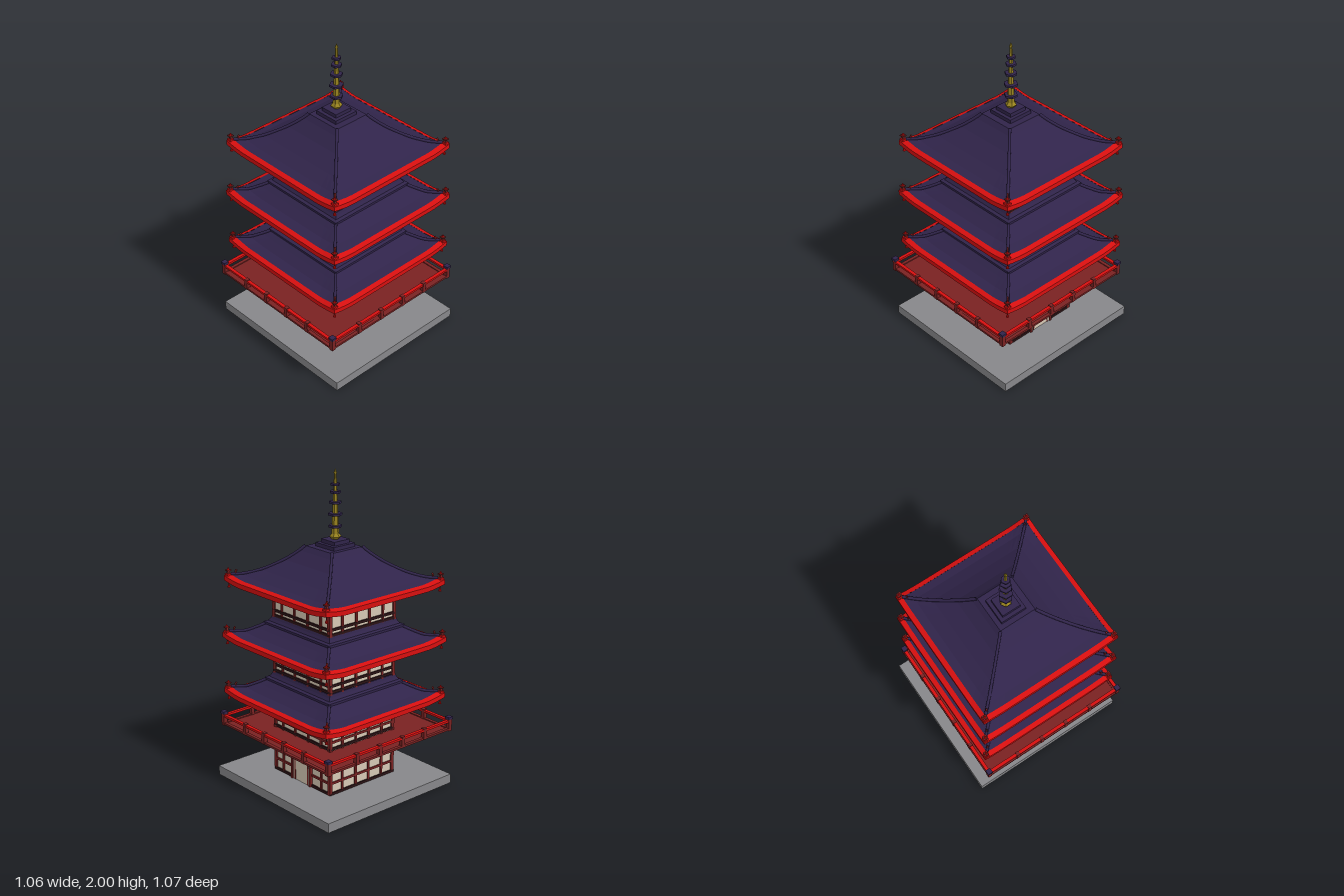
import * as THREE from 'three';

const mat = (name, color, side = THREE.FrontSide) => {
  const m = new THREE.MeshStandardMaterial({ color, side });
  m.name = name;
  return m;
};

export function createModel() {
  const M = {
    wall: mat('plaster', 0xd6c8b4), timber: mat('dark red timber', 0x7a2222),
    red: mat('bright red', 0xd60f0f), tile: mat('navy roof tile', 0x30244a),
    stone: mat('stone', 0x87878a), gold: mat('gold', 0x9a8420), dark: mat('dark trim', 0x2a1214),
  };
  const model = new THREE.Group();
  model.name = 'pagoda';

  const group = (name, parent, x = 0, y = 0, z = 0) => {
    const g = new THREE.Group();
    g.name = name;
    g.position.set(x, y, z);
    parent.add(g);
    return g;
  };
  const add = (name, parent, geo, m, x = 0, y = 0, z = 0) => {
    const mesh = new THREE.Mesh(geo, m);
    mesh.name = name;
    mesh.position.set(x, y, z);
    parent.add(mesh);
    return mesh;
  };
  // box given by its bottom height
  const box = (name, parent, m, w, h, d, x, y, z) =>
    add(name, parent, new THREE.BoxGeometry(w, h, d), m, x, y + h / 2, z);
  const cyl = (name, parent, m, rTop, rBottom, h, sides, x, y, z) => {
    const geo = new THREE.CylinderGeometry(rTop, rBottom, h, sides).toNonIndexed();
    geo.computeVertexNormals();
    return add(name, parent, geo, m, x, y + h / 2, z);
  };

  // eaves sweep upward close to the corners
  const lift = (half, t) =>
    0.02 * Math.max(0, (Math.abs(t) - 0.7) / 0.3) ** 1.5 * THREE.MathUtils.clamp((half - 0.3) / 0.15, 0, 1);

  // square shell from a [half width, height] profile, listed underside first
  const squareLoft = (profile) => {
    const pos = [], seg = 20;
    for (let side = 0; side < 4; side++) {
      const c = Math.round(Math.cos(side * Math.PI / 2)), s = Math.round(Math.sin(side * Math.PI / 2));
      const point = ([h, y], t) => [c * h * t + s * h, y + lift(h, t), -s * h * t + c * h];
      for (let i = 0; i < profile.length - 1; i++) {
        for (let j = 0; j < seg; j++) {
          const t0 = -1 + 2 * j / seg, t1 = -1 + 2 * (j + 1) / seg;
          const a = point(profile[i], t0), b = point(profile[i], t1);
          const d = point(profile[i + 1], t1), e = point(profile[i + 1], t0);
          pos.push(...a, ...b, ...d, ...a, ...d, ...e);
        }
      }
    }
    const geo = new THREE.BufferGeometry();
    geo.setAttribute('position', new THREE.Float32BufferAttribute(pos, 3));
    geo.computeVertexNormals();
    return geo;
  };

  // stone base
  box('base', model, M.stone, 1.02, 0.06, 1.065, 0.017, 0, 0);

  // storeys: bottom, top, timber beams, dark beams, bracket height
  const storeys = [
    { y0: 0.06, y1: 0.337, beams: [0.13, 0.237, 0.325], dark: [0.06], bracket: 0.255 },
    { y0: 0.35, y1: 0.585, beams: [0.4, 0.505], dark: [0.357], bracket: 0.53 },
    { y0: 0.715, y1: 0.95, beams: [0.873], dark: [0.725, 0.763], bracket: 0.895 },
    { y0: 1.08, y1: 1.315, beams: [1.238], dark: [1.083, 1.115], bracket: 1.262 },
  ];
  storeys.forEach((s, n) => {
    const g = group('storey' + (n + 1), model, 0.017, 0, 0);
    const h = s.y1 - s.y0;
    box('plasterWalls', g, M.wall, 0.516, h, 0.516, 0, s.y0, 0);
    for (let k = 0; k < 4; k++) {
      const face = group('wallFrame', g);
      face.rotation.y = k * Math.PI / 2;
      const inner = k % 2 ? [-0.18, -0.062, 0.062, 0.18] : [-0.162, -0.053, 0.053, 0.162];
      box('cornerColumn', face, M.timber, 0.022, h, 0.022, 0.256, s.y0, 0.256);
      for (const x of inner) {
        const door = n === 0 && k === 1 && Math.abs(x) < 0.1;
        if (door) box('column', face, M.timber, 0.015, 0.09, 0.016, x, 0.245, 0.258);
        else box('column', face, M.timber, 0.015, h, 0.016, x, s.y0, 0.258);
        // stepped bracket
        box('bracketFoot', face, M.red, 0.022, 0.016, 0.028, x, s.bracket, 0.268);
        box('bracketArm', face, M.red, 0.05, 0.013, 0.032, x, s.bracket + 0.016, 0.27);
        box('bracketBlock', face, M.timber, 0.03, 0.012, 0.04, x, s.bracket + 0.029, 0.27);
      }
      for (const y of s.beams) box('beam', face, M.timber, 0.53, 0.014, 0.014, 0, y, 0.259);
      for (const y of s.dark) box('darkBeam', face, M.dark, 0.532, 0.016, 0.014, 0, y, 0.26);
    }
  });

  // door on the left side of the ground storey
  const door = group('door', model, 0.282, 0.06, 0);
  box('doorPanel', door, M.wall, 0.006, 0.17, 0.16, 0, 0, 0);
  box('doorLintel', door, M.timber, 0.024, 0.016, 0.19, 0, 0.17, 0);
  for (const z of [-0.085, 0.085]) box('doorJamb', door, M.timber, 0.024, 0.18, 0.014, 0, 0, z);
  for (const z of [-0.06, 0.06]) box('doorStile', door, M.timber, 0.012, 0.17, 0.008, 0, 0, z);

  // balcony
  const balcony = group('balcony', model, -0.015, 0, 0.016);
  box('balconyFloor', balcony, M.timber, 1.0, 0.012, 1.0, 0, 0.338, 0);
  for (let k = 0; k < 4; k++) {
    const side = group('railing', balcony);
    side.rotation.y = k * Math.PI / 2;
    box('topRail', side, M.red, 1.0, 0.014, 0.022, 0, 0.396, 0.5);
    box('bottomRail', side, M.timber, 1.0, 0.013, 0.022, 0, 0.343, 0.5);
    for (let i = 0; i < 4; i++) box('railPost', side, M.timber, 0.024, 0.073, 0.026, (i - 1.5) * 0.187, 0.343, 0.5);
    box('cornerPost', side, M.timber, 0.026, 0.078, 0.026, 0.5, 0.338, 0.5);
    box('cornerPostCap', side, M.tile, 0.034, 0.016, 0.034, 0.5, 0.416, 0.5);
  }

  // roofs
  const lower = [[0.455, 0.038], [0.39, 0.05], [0.335, 0.085], [0.29, 0.118]];
  const upper = [[0.442, 0.038], [0.39, 0.05], [0.31, 0.09], [0.21, 0.156], [0.145, 0.216], [0.12, 0.246]];
  const makeRoof = (y, top) => {
    const roof = group(top ? 'topRoof' : 'skirtRoof', model, 0.013, y, 0.004);
    const slope = top ? upper : lower;
    const edge = slope[0][0], rim = edge + 0.031;
    add('soffit', roof, squareLoft([[0.24, 0.028], [edge - 0.01, 0.01]]), M.tile);
    add('eave', roof, squareLoft([[edge - 0.01, 0.012], [edge - 0.01, 0], [rim, 0], [rim, 0.03], [edge, 0.039]]), M.red);
    add('tiles', roof, squareLoft(top ? [...slope, [0, 0.246]] : slope), M.tile);
    if (!top) {
      // ridge collar against the wall above
      add('collar', roof, squareLoft([[0.29, 0.112], [0.305, 0.114], [0.305, 0.128], [0.285, 0.134],
        [0.275, 0.15], [0.268, 0.168], [0.24, 0.168]]), M.tile);
    }
    for (let k = 0; k < 4; k++) {
      const corner = group('roofCorner', roof);
      corner.rotation.y = k * Math.PI / 2;
      // hip ridge
      const path = new THREE.CatmullRomCurve3(slope.map(([h, py]) =>
        new THREE.Vector3(h, py + lift(h, 1) + 0.003, h)));
      add('hipRidge', corner, new THREE.TubeGeometry(path, 16, 0.01, 6), M.tile);
      // corner finial
      const f = edge + 0.012;
      box('finialFoot', corner, M.red, 0.03, 0.012, 0.03, f, 0.05, f);
      box('finialPost', corner, M.timber, 0.015, 0.024, 0.015, f, 0.06, f);
      box('finialCap', corner, M.timber, 0.028, 0.007, 0.028, f, 0.08, f);
      cyl('finialTip', corner, M.red, 0.002, 0.009, 0.014, 6, f, 0.087, f);
      // curled hook on the ridge
      const a = edge - 0.04;
      const hook = new THREE.CatmullRomCurve3([[0, 0.05], [0.016, 0.062], [0.02, 0.077], [0.014, 0.09]]
        .map(([o, py]) => new THREE.Vector3(a + o, py, a + o)));
      add('ridgeHook', corner, new THREE.TubeGeometry(hook, 8, 0.006, 6), M.timber);
      // hanging bell
      const b = edge + 0.01;
      cyl('bellCord', corner, M.timber, 0.003, 0.003, 0.03, 5, b, -0.01, b);
      cyl('bell', corner, M.red, 0.005, 0.01, 0.016, 8, b, -0.024, b);
    }
  };
  makeRoof(0.552, false);
  makeRoof(0.918, false);
  makeRoof(1.284, true);

  // spire
  const spire = group('spire', model, 0.008, 0, -0.003);
  box('spirePlinth', spire, M.tile, 0.168, 0.025, 0.168, 0, 1.528, 0);
  box('spireUpperPlinth', spire, M.tile, 0.122, 0.024, 0.122, 0, 1.552, 0);
  cyl('spireFoot', spire, M.gold, 0.036, 0.022, 0.016, 6, 0, 1.576, 0);
  cyl('spireFootTop', spire, M.gold, 0.022, 0.036, 0.018, 6, 0, 1.592, 0);
  cyl('spireShaft', spire, M.gold, 0.009, 0.023, 0.34, 6, 0, 1.6, 0);
  cyl('spireNeck', spire, M.gold, 0.007, 0.009, 0.045, 6, 0, 1.935, 0);
  cyl('spireTip', spire, M.gold, 0.001, 0.011, 0.025, 6, 0, 1.975, 0);
  [[1.655, 0.041], [1.728, 0.043], [1.8, 0.038], [1.862, 0.033], [1.908, 0.028]].forEach(([y, r]) =>
    cyl('spireRing', spire, M.tile, r, r, 0.013, 6, 0, y - 0.0065, 0));

  return model;
}
